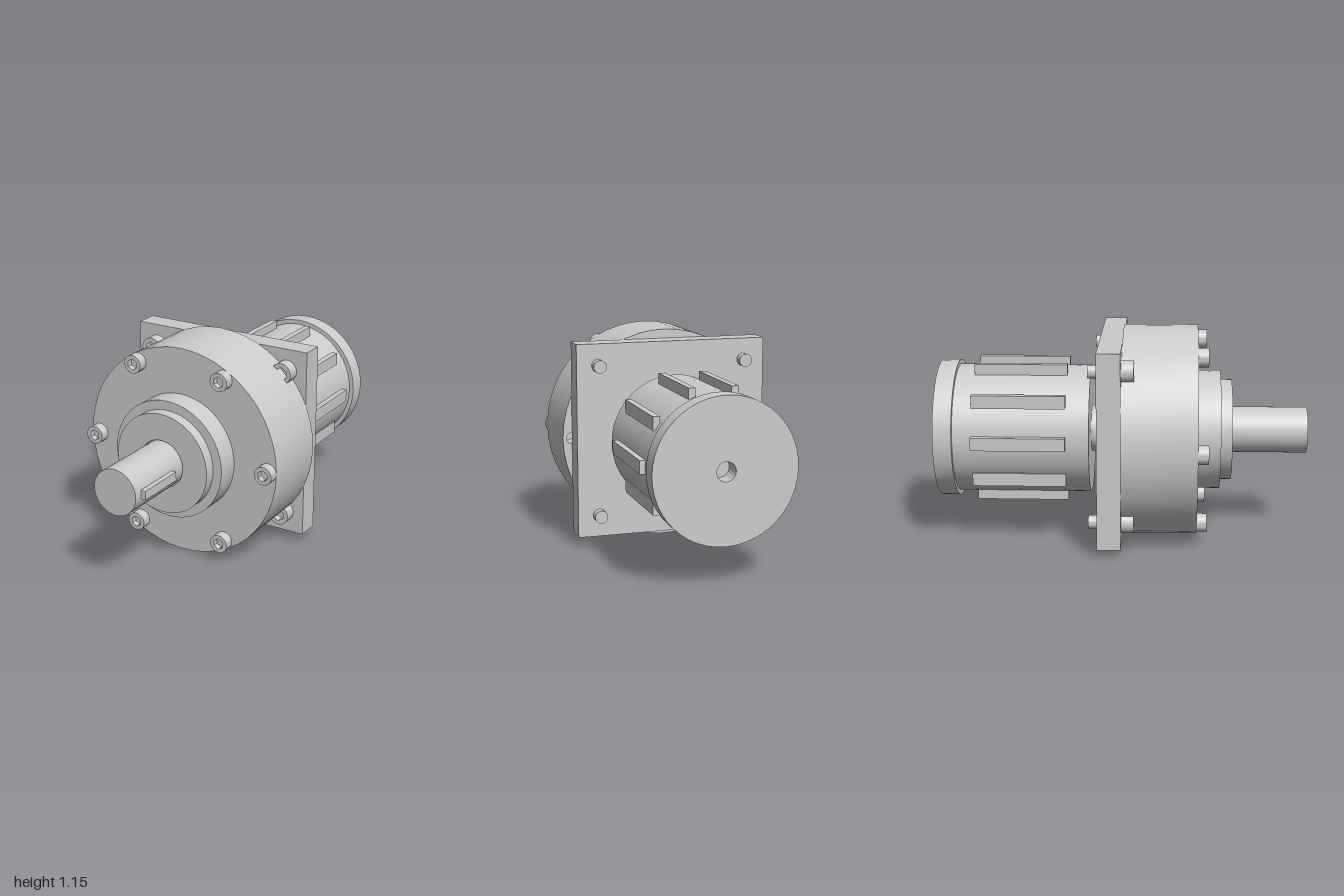
import * as THREE from 'three';
import { toCreasedNormals } from 'three/addons/utils/BufferGeometryUtils.js';

const material = new THREE.MeshStandardMaterial({ color: 0xcccccc });
const AXIS_Y = 0.575; // height of the shaft line

function addMesh(parent, name, geometry, x = 0, y = 0, z = 0) {
  const mesh = new THREE.Mesh(geometry, material);
  mesh.name = name;
  mesh.position.set(x, y, z);
  parent.add(mesh);
  return mesh;
}

// Solid turned about z; profile is [radius, z] pairs with z rising on the outside
function turned(profile, segments = 48) {
  const points = profile.map(([r, z]) => new THREE.Vector2(r, z));
  const geometry = new THREE.LatheGeometry(points, segments);
  geometry.rotateX(Math.PI / 2);
  return toCreasedNormals(geometry, 0.5);
}

const rod = (r, z0, z1, segments) => turned([[0, z0], [r, z0], [r, z1], [0, z1]], segments);

function box(x0, x1, y0, y1, z0, z1) {
  const geometry = new THREE.BoxGeometry(x1 - x0, y1 - y0, z1 - z0);
  return geometry.translate((x0 + x1) / 2, (y0 + y1) / 2, (z0 + z1) / 2);
}

// Disc with holes cut through it
function piercedDisc(radius, holes, z0, z1, curveSegments) {
  const shape = new THREE.Shape().absarc(0, 0, radius, 0, Math.PI * 2);
  shape.holes.push(...holes);
  const geometry = new THREE.ExtrudeGeometry(shape, { depth: z1 - z0, bevelEnabled: false, curveSegments });
  return toCreasedNormals(geometry.translate(0, 0, z0), 0.5);
}

function hexagon(r) {
  const corners = [];
  for (let i = 0; i < 6; i++) {
    const a = Math.PI / 6 + i * Math.PI / 3;
    corners.push(new THREE.Vector2(r * Math.cos(a), r * Math.sin(a)));
  }
  return new THREE.Path(corners);
}

// Socket-head bolt: the underside of its head is at z = 0
function makeBolt(name, headR, headH, socketR, shankR, shankLength) {
  const bolt = new THREE.Group();
  bolt.name = name;
  const floor = headH * 0.45;
  addMesh(bolt, 'boltHeadBase', rod(headR, 0, floor, 32));
  addMesh(bolt, 'boltHeadSocket', piercedDisc(headR, [hexagon(socketR)], floor, headH, 16));
  addMesh(bolt, 'boltShank', rod(shankR, -shankLength, 0, 24));
  return bolt;
}

export function createModel() {
  const model = new THREE.Group();
  model.name = 'gearedMotor';
  const unit = new THREE.Group();
  unit.name = 'motorUnit';
  unit.position.y = AXIS_Y;
  model.add(unit);

  // Gear housing with six bolts around its rim
  const boltSpots = [];
  for (let i = 0; i < 6; i++) {
    const a = i * Math.PI / 3;
    boltSpots.push([0.525 * Math.cos(a), 0.525 * Math.sin(a)]);
  }
  const boltHoles = boltSpots.map(([x, y]) => new THREE.Path().absarc(x, y, 0.03, 0, Math.PI * 2));
  addMesh(unit, 'gearHousing', piercedDisc(0.575, boltHoles, 0, 0.4, 24));
  for (const [x, y] of boltSpots) {
    const bolt = makeBolt('housingBolt', 0.05, 0.055, 0.03, 0.03, 0.3);
    bolt.position.set(x, y, 0.4);
    unit.add(bolt);
  }

  // Stepped bearing collar with a clearance bore
  addMesh(unit, 'bearingCollar', turned([
    [0.325, 0.4], [0.325, 0.525], [0.275, 0.525], [0.275, 0.5875],
    [0.13, 0.5875], [0.13, 0.45], [0, 0.45],
  ]));

  // Output shaft and its key
  addMesh(unit, 'outputShaft', rod(0.125, 0.45, 1));
  addMesh(unit, 'shaftKey', box(0.1, 0.15, -0.0235, 0.0235, 0.678, 0.953));

  // Square mounting plate with a bolt at each corner
  addMesh(unit, 'mountingPlate', box(-0.525, 0.525, -0.525, 0.525, -0.125, 0));
  for (const sx of [-1, 1]) {
    for (const sy of [-1, 1]) {
      const bolt = makeBolt('plateBolt', 0.0575, 0.066, 0.035, 0.035, 0.174);
      bolt.position.set(sx * 0.408, sy * 0.408, 0);
      unit.add(bolt);
    }
  }

  // Motor: coupling neck, body and rear cap with a blind centre hole
  addMesh(unit, 'motorNeck', rod(0.125, -0.2, -0.1));
  addMesh(unit, 'motorBody', turned([
    [0, -0.9], [0.05, -0.9], [0.05, -1], [0.375, -1], [0.375, -0.9],
    [0.35, -0.9], [0.35, -0.175], [0, -0.175],
  ]));

  // Ten upright cooling fins around the motor body
  for (let i = 0; i < 10; i++) {
    const a = i * Math.PI / 5;
    addMesh(unit, 'coolingFin', new THREE.BoxGeometry(0.036, 0.07, 0.5),
      0.362 * Math.cos(a) - 0.002, 0.362 * Math.sin(a) + 0.003, -0.55);
  }
  return model;
}
